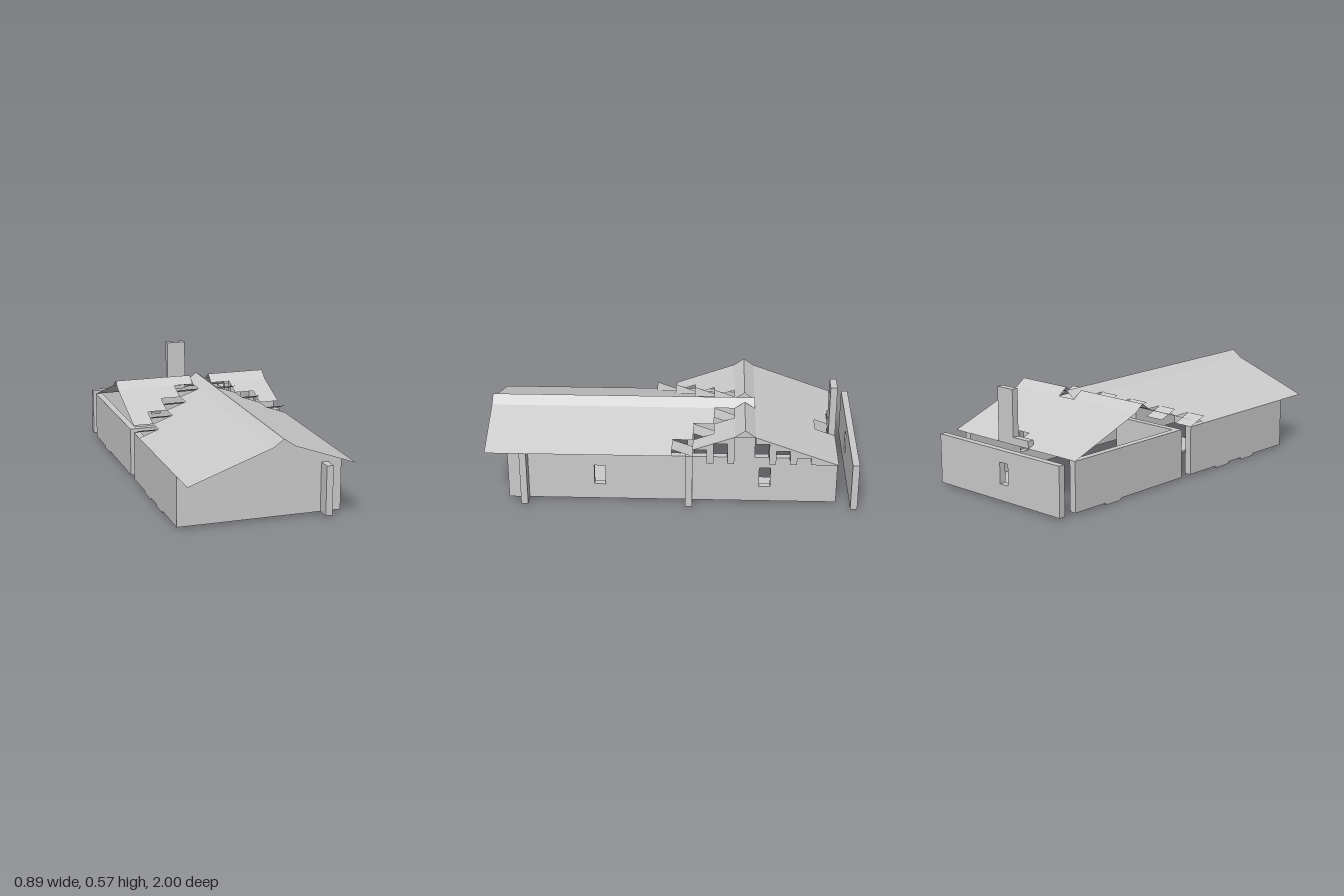
import * as THREE from 'three';

const U = 1 / 9;          // grid unit
const T = U / 3;          // panel thickness
const STEP = 0.04;        // roof rise per unit
const BASE = 0.011, EAVE = 0.28, HALF = 4 * U;

export function createModel() {
  const house = new THREE.Group();
  const solid = new THREE.MeshStandardMaterial({ color: 0xcccccc, flatShading: true });
  const thin = new THREE.MeshStandardMaterial({ color: 0xcccccc, flatShading: true, side: THREE.DoubleSide });

  const add = (name, geometry, material = solid) => {
    const mesh = new THREE.Mesh(geometry, material);
    mesh.name = name;
    house.add(mesh);
    return mesh;
  };

  // Box from its minimum and maximum corners
  const box = (name, x0, x1, y0, y1, z0, z1) =>
    add(name, new THREE.BoxGeometry(x1 - x0, y1 - y0, z1 - z0)
      .translate((x0 + x1) / 2, (y0 + y1) / 2, (z0 + z1) / 2));

  // Thin polygon of three or four corners
  const sheet = (name, ...p) => {
    const g = new THREE.BufferGeometry();
    const order = p.length === 4 ? [0, 1, 2, 0, 2, 3] : [0, 1, 2];
    g.setAttribute('position', new THREE.Float32BufferAttribute(order.flatMap(i => p[i]), 3));
    g.computeVertexNormals();
    return add(name, g, thin);
  };
  // Roof sheet sloping along z, and one sloping along x
  const slopeZ = (name, x0, x1, z0, y0, z1, y1) =>
    sheet(name, [x0, y0, z0], [x0, y1, z1], [x1, y1, z1], [x1, y0, z0]);
  const slopeX = (name, z0, z1, x0, y0, x1, y1) =>
    sheet(name, [x0, y0, z0], [x0, y0, z1], [x1, y1, z1], [x1, y1, z0]);

  // Upright panel with an outline and window openings
  const panel = (name, outline, windows) => {
    const shape = new THREE.Shape(outline.map(([a, b]) => new THREE.Vector2(a, b)));
    for (const [a, b] of windows) {
      shape.holes.push(new THREE.Path([[a, 0.1], [a, 0.215], [b, 0.215], [b, 0.1]]
        .map(([u, v]) => new THREE.Vector2(u, v))));
    }
    return add(name, new THREE.ExtrudeGeometry(shape, { depth: T, bevelEnabled: false }));
  };
  const rect = (a, b, top) => [[a, BASE], [b, BASE], [b, top], [a, top]];

  // Long window wall on the +x side, crossing the end walls
  const sideWall = panel('windowSideWall', rect(-8 * U, 8 * U, EAVE), [[-0.42, -0.36], [0.47, 0.53]]);
  sideWall.rotation.y = Math.PI / 2;
  sideWall.position.x = 3 * U;

  // Detached back wall with a window
  panel('backWall', rect(-HALF, HALF, EAVE), [[-0.075, -0.015]]).position.z = -9 * U;

  // Front gable wall reaching up to the roof
  panel('frontGableWall', [
    [-HALF, BASE], [HALF, BASE], [HALF, 0.32], [U, 0.44], [U / 2, 0.48], [0, 0.44], [-HALF, EAVE],
  ], []).position.z = 7 * U;

  // Plain side walls and the cross wall between the two halves
  box('frontPlainSideWall', -HALF, -HALF + T, BASE, EAVE, 0, 7 * U);
  box('backPlainSideWall', -HALF, -HALF + T, BASE, EAVE, -8 * U, -U);
  box('crossWall', -HALF, 0, BASE, EAVE, -U, -U + T);
  box('crossWallEnd', 3 * U + T, HALF, BASE, 0.32, -U, -U + T);

  // Thin floor slabs
  [
    [-1, 2, 1, 5], [-4, -2, 4, 5], [-4, -2, 2, 3], [1, 3, -8, -4], [-4, -3, -6, -5],
  ].forEach(([x0, x1, z0, z1]) => box('floorSlab', x0 * U, x1 * U, 0, BASE, z0 * U, z1 * U));

  // Main roof: strips that start further forward towards the eaves
  for (let i = 0; i < 4; i++) {
    const y = 0.44 - i * STEP, z = (i - 2) * U;
    slopeX('mainRoofStrip', z, 9 * U, -(i + 1) * U, y - STEP, -i * U, y);
    if (i < 3) slopeX('mainRoofStrip', z, 9 * U, (i + 1) * U, y, (i + 2) * U, y - STEP);
  }
  slopeX('mainRidge', -4 * U, 9 * U, 0, 0.44, U / 2, 0.48);
  slopeX('mainRidge', -4 * U, 9 * U, U / 2, 0.48, U, 0.44);

  // Cross roof, front slope: columns ending in a reversed valley tile
  const column = (x, n) => {
    const z = (n - 3) * U, y = 0.44 - n * STEP;
    if (n > 0) slopeZ('crossRoofFront', x * U, (x + 1) * U, -3 * U, 0.44, z, y);
    slopeZ('valleyTile', x * U, (x + 1) * U, z, y - STEP, z + U, y);
  };
  for (let n = 0; n < 4; n++) {
    column(-1 - n, n);
    if (n < 3) column(1 + n, n);
  }

  // Cross roof, ridge on both sides of the main ridge
  for (const [x0, x1] of [[-HALF, 0], [U, HALF]]) {
    slopeZ('crossRidge', x0, x1, -3 * U, 0.44, -3.5 * U, 0.48);
    slopeZ('crossRidge', x0, x1, -3.5 * U, 0.48, -4 * U, 0.44);
  }

  // Cross roof, back slope with a notch for the chimney
  const back = (x0, x1, zEnd) =>
    slopeZ('crossRoofBack', x0, x1, -4 * U, 0.44, zEnd, 0.44 + (zEnd + 4 * U) * 0.36);
  back(-HALF, -U, -8 * U);
  back(-U, 0, -8 * U + T);
  back(0, U, -7 * U);
  back(U, HALF, -8 * U);

  // Stepped fins and small gable triangles under the +x end of the cross roof
  const finIn = 3 * U;
  for (let i = 0; i < 4; i++) {
    const y = 0.44 - (i + 1) * STEP, z = -(4 + i) * U;
    if (i < 3) box('gableFin', finIn, HALF, EAVE, y, z - U, z - U + T);
    sheet('gableTriangle', [HALF, y, z], [HALF, y + STEP, z], [HALF, y, z - U]);
  }
  for (let i = 0; i < 2; i++) {
    const y = 0.40 - i * STEP, z = -(3 - i) * U;
    box('gableFin', finIn, HALF, EAVE, y, z, z + T);
    sheet('gableTriangle', [HALF, y, z], [HALF, y + STEP, z], [HALF, y, z + U]);
  }
  box('gablePanel', finIn, finIn + T, EAVE, 0.44, -4 * U, -3 * U);
  sheet('ridgeEnd', [HALF, 0.44, -3 * U], [HALF, 0.44, -4 * U], [HALF, 0.48, -3.5 * U]);

  // Chimney and its shoulder
  box('chimney', 0, U, EAVE, 0.573, -8 * U, -8 * U + T);
  box('chimneyShoulder', -U, 0, EAVE, 0.32, -8 * U, -8 * U + T);

  return house;
}
